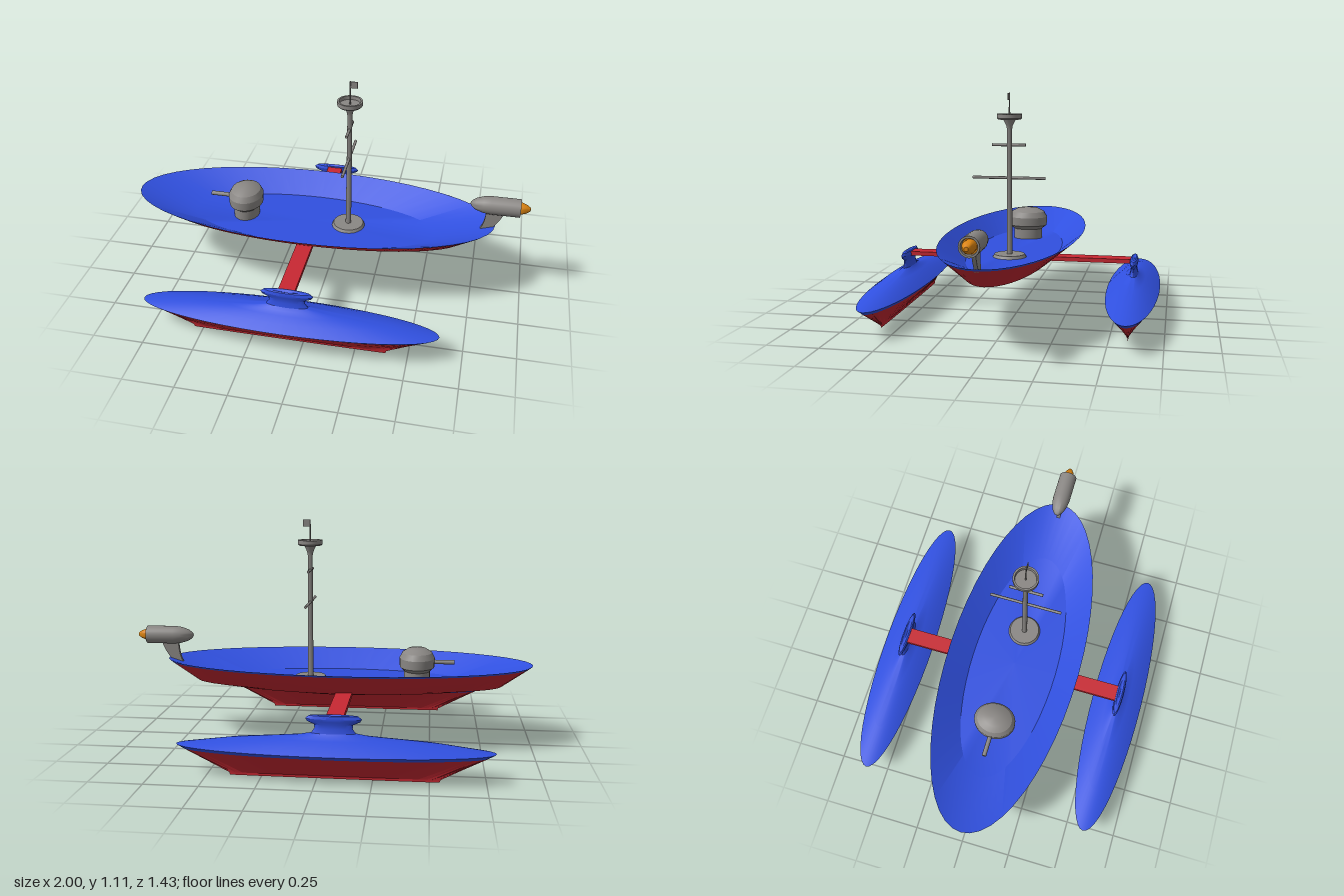
import * as THREE from 'three';
import { toCreasedNormals } from 'three/addons/utils/BufferGeometryUtils.js';

const paint = (name, color) => {
  const m = new THREE.MeshStandardMaterial({ color, side: THREE.DoubleSide });
  m.name = name;
  return m;
};

// Skin over stacked ellipses given as [radiusX, radiusZ, y]; bottom-up faces outward.
function loft(rings, sides = 48) {
  const pos = [], index = [];
  for (const [rx, rz, y] of rings) {
    for (let j = 0; j < sides; j++) {
      const a = (j / sides) * Math.PI * 2;
      pos.push(rx * Math.cos(a), y, rz * Math.sin(a));
    }
  }
  for (let i = 0; i < rings.length - 1; i++) {
    for (let j = 0; j < sides; j++) {
      const a = i * sides + j, b = i * sides + (j + 1) % sides;
      const c = a + sides, d = b + sides;
      if (rings[i][0] > 0) index.push(a, c, b);
      if (rings[i + 1][0] > 0) index.push(b, c, d);
    }
  }
  const g = new THREE.BufferGeometry();
  g.setAttribute('position', new THREE.Float32BufferAttribute(pos, 3));
  g.setIndex(index);
  return toCreasedNormals(g, 0.45);
}

// Turned part from [radius, height] points.
const lathe = (points, sides = 24) => toCreasedNormals(
  new THREE.LatheGeometry(points.map(([r, y]) => new THREE.Vector2(r, y)), sides), 0.6);

export function createModel() {
  const blue = paint('blue paint', 0x3050e0);
  const red = paint('red paint', 0xc82832);
  const grey = paint('grey metal', 0x8a8784);
  const orange = paint('orange exhaust', 0xdc8410);
  const root = new THREE.Group();
  root.name = 'trimaran';
  const add = (parent, name, geometry, material, x = 0, y = 0, z = 0) => {
    const m = new THREE.Mesh(geometry, material);
    m.name = name;
    m.position.set(x, y, z);
    parent.add(m);
    return m;
  };
  const group = (name, x, y, z) => {
    const g = new THREE.Group();
    g.name = name;
    g.position.set(x, y, z);
    root.add(g);
    return g;
  };
  const zc = 0.015;

  // Main hull: red shell, thin blue rim, sunken deck
  const hull = group('mainHull', -0.08, 0, zc);
  add(hull, 'hullShell', loft([
    [0, 0, 0.257], [0.2, 0.09, 0.258], [0.38, 0.14, 0.264], [0.6, 0.18, 0.278],
    [0.77, 0.205, 0.295], [0.907, 0.328, 0.394],
  ]), red);
  add(hull, 'hullRim', loft([[0.907, 0.328, 0.394], [0.92, 0.34, 0.405]]), blue);
  add(hull, 'deck', loft([[0.92, 0.34, 0.405], [0.625, 0.222, 0.312], [0, 0, 0.312]]), blue);

  // Outrigger floats with necks and dished caps
  for (const side of [1, -1]) {
    const float = group(side > 0 ? 'frontFloat' : 'backFloat', -0.075, 0, side * 0.586);
    add(float, 'floatKeel', loft([[0, 0, 0], [0.47, 0.003, 0], [0.474, 0.004, 0.012],
      [0.684, 0.112, 0.122]]), red);
    add(float, 'floatTop', loft([
      [0.684, 0.112, 0.122], [0.715, 0.131, 0.14], [0.5, 0.09, 0.17], [0.3, 0.056, 0.187],
      [0.17, 0.033, 0.199], [0.1, 0.022, 0.211], [0.085, 0.016, 0.232], [0.087, 0.015, 0.25],
      [0.118, 0.019, 0.264], [0.126, 0.021, 0.276], [0.11, 0.017, 0.29], [0.08, 0.011, 0.293],
      [0, 0, 0.283],
    ]), blue);
  }
  add(root, 'crossBeam', new THREE.BoxGeometry(0.08, 0.021, 1.16), red, -0.08, 0.277, 0);

  // Gun turret
  const turret = group('turret', -0.43, 0, zc);
  add(turret, 'turretBody', loft([
    [0.065, 0.078, 0.31], [0.065, 0.078, 0.365], [0.086, 0.103, 0.385], [0.088, 0.104, 0.43],
    [0.074, 0.088, 0.458], [0.045, 0.055, 0.476], [0, 0, 0.482],
  ], 24), grey);
  add(turret, 'gunBarrel', new THREE.CylinderGeometry(0.011, 0.011, 0.13, 12), grey,
    -0.12, 0.41, 0).rotation.z = Math.PI / 2;

  // Mast with base, lookout, spars and pennant
  const mast = group('mast', 0.107, 0, zc);
  add(mast, 'mastBase', new THREE.CylinderGeometry(0.075, 0.083, 0.014, 24), grey, 0, 0.319, 0);
  add(mast, 'mastPole', lathe([[0.014, 0.312], [0.012, 0.935], [0.016, 0.955], [0.03, 0.985],
    [0, 0.985]], 16), grey);
  add(mast, 'lookout', lathe([[0, 0.985], [0.054, 0.985], [0.061, 0.992], [0.061, 1.012],
    [0.052, 1.012], [0.05, 0.995], [0, 0.995]]), grey);
  for (const [y, length] of [[0.702, 0.36], [0.862, 0.166]]) {
    add(mast, 'spar', new THREE.CylinderGeometry(0.007, 0.007, length, 10), grey, 0, y, 0.003)
      .rotation.x = Math.PI / 2;
  }
  add(mast, 'flagPole', new THREE.CylinderGeometry(0.003, 0.004, 0.12, 8), grey, 0, 1.053, 0);
  add(mast, 'flag', new THREE.BoxGeometry(0.034, 0.033, 0.004), grey, 0.018, 1.095, 0);

  // Stern engine, its axis along x
  const engine = group('engine', 0, 0.52, zc);
  const axial = (name, points, material) => {
    add(engine, name, lathe(points), material).rotation.z = -Math.PI / 2;
  };
  axial('engineBody', [[0, 0.71], [0.014, 0.717], [0.029, 0.738], [0.041, 0.775],
    [0.045, 0.81], [0.045, 0.952], [0.036, 0.952], [0.034, 0.93]], grey);
  axial('exhaustDish', [[0.034, 0.93], [0, 0.93]], orange);
  axial('exhaustCone', [[0.029, 0.93], [0.029, 0.958], [0.02, 0.982], [0.009, 0.998],
    [0, 1.0]], orange);

  // Curved pylon carrying the engine
  const fin = new THREE.Shape();
  fin.moveTo(0.765, 0.375);
  fin.lineTo(0.815, 0.385);
  fin.quadraticCurveTo(0.86, 0.43, 0.878, 0.49);
  fin.lineTo(0.79, 0.49);
  fin.quadraticCurveTo(0.79, 0.42, 0.765, 0.375);
  add(root, 'enginePylon', new THREE.ExtrudeGeometry(fin, { depth: 0.018, bevelEnabled: false }),
    grey, 0, 0, zc - 0.009);

  return root;
}
